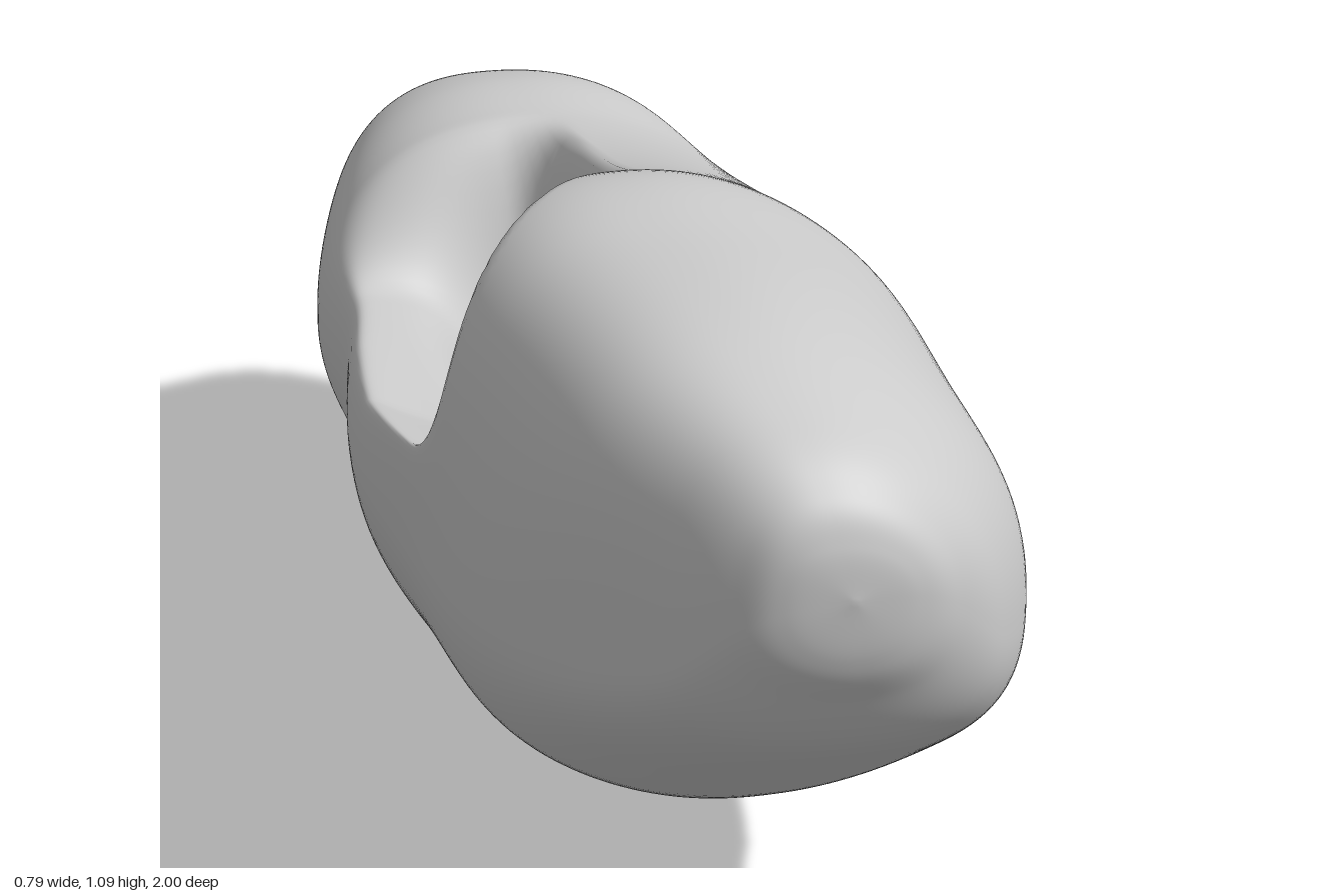
import * as THREE from 'three';
import { mergeVertices } from 'three/addons/utils/BufferGeometryUtils.js';

// Cross-sections from front to back: z, yMin, yMax, xMin, xMax, height of widest point
const SECTIONS = [
  [1.0, 0.87, 0.87, 0.06, 0.06, 0.87],
  [0.99, 0.78, 0.94, -0.02, 0.14, 0.86],
  [0.96, 0.71, 0.995, -0.075, 0.2, 0.82],
  [0.88, 0.58, 1.045, -0.155, 0.285, 0.72],
  [0.7, 0.42, 1.08, -0.265, 0.365, 0.64],
  [0.45, 0.22, 1.08, -0.335, 0.385, 0.59],
  [0.2, 0.115, 1.05, -0.375, 0.39, 0.55],
  [0.0, 0.03, 0.96, -0.395, 0.385, 0.53],
  [-0.15, 0.0, 0.90, -0.395, 0.365, 0.51],
  [-0.32, 0.04, 0.85, -0.375, 0.335, 0.50],
  [-0.48, 0.11, 0.82, -0.39, 0.31, 0.49],
  [-0.65, 0.18, 0.81, -0.36, 0.255, 0.50],
  [-0.8, 0.27, 0.755, -0.31, 0.19, 0.51],
  [-0.91, 0.37, 0.68, -0.23, 0.12, 0.53],
  [-0.97, 0.45, 0.61, -0.15, 0.04, 0.54],
  [-0.993, 0.495, 0.575, -0.105, -0.02, 0.54],
  [-1.0, 0.54, 0.54, -0.06, -0.06, 0.54],
];
const RINGS = 210, SIDES = 180;
const step = THREE.MathUtils.smoothstep;
const curve = (pick) => new THREE.CatmullRomCurve3(
  SECTIONS.map((s) => new THREE.Vector3(...pick(s))), false, 'catmullrom', 0.5);
const power = (t, e) => Math.sign(t) * Math.abs(t) ** e;

// Hollow on the upper side: a rounded outer shelf sinking into a pit under the ridge
function carve(p) {
  const front = 0.06 + (-0.07 - p.x) * 1.1;
  const w = step(-p.x, 0.01, 0.11)
    * step(p.z, -0.5, -0.32)
    * (1 - step(p.z, front - 0.14, front + 0.04));
  const pit = Math.exp(-(((p.x + 0.12) / 0.08) ** 2) - ((p.z + 0.2) / 0.18) ** 2);
  const floor = 0.62 - 0.28 * pit + 1.2 * (p.x + 0.2) ** 2 + 0.3 * Math.max(0, p.z);
  const over = p.y - floor;
  const drop = w * (over + Math.sqrt(over * over + 0.002)) / 2;
  p.y -= drop;
  p.x += 0.12 * drop * pit; // undercut below the ridge
  p.z += 0.25 * drop * step(p.z, -0.2, 0.05); // undercut below the front lobe
}

// Gentle unevenness of the skin
function bump(p, nx, ny, fade) {
  const n = Math.sin(9 * p.x + 7 * p.z + 1) * Math.sin(8 * p.y - 5 * p.z);
  // shallow dents on the left flank
  const dent = p.x > 0.2 ? Math.exp(-(((p.z - 0.25) / 0.14) ** 2) - ((p.y - 0.5) / 0.07) ** 2) : 0;
  const d = (0.004 * n - 0.012 * dent) * fade;
  p.x += nx * d;
  p.y += ny * d;
}

function bodyGeometry() {
  const heights = curve((s) => [s[0], s[1], s[2]]);
  const widths = curve((s) => [s[3], s[4], s[5]]);
  const pos = [], index = [];
  const h = new THREE.Vector3(), v = new THREE.Vector3(), p = new THREE.Vector3();
  for (let i = 0; i <= RINGS; i++) {
    const u = i / RINGS;
    heights.getPoint(u, h);
    widths.getPoint(u, v);
    const half = (v.y - v.x) / 2, mid = (v.y + v.x) / 2;
    const crestLean = 0.06 + 0.18 * step(h.x, -0.2, 0.4);
    const keelShape = 1.06 - 0.2 * step(h.x, 0.1, 0.6); // boxier chin at the front
    for (let j = 0; j < SIDES; j++) {
      const a = (j / SIDES) * Math.PI * 2, c = Math.cos(a), s = Math.sin(a);
      // the crest leans right, the keel leans left
      const e = s > 0 ? 0.9 : keelShape, lean = s > 0 ? crestLean : 0.15;
      p.set(mid + half * (power(c, e) - lean * s * Math.abs(s)),
        v.z + power(s, e) * (s > 0 ? h.z - v.z : v.z - h.y), h.x);
      bump(p, c, s, Math.min(1, half * 4));
      carve(p);
      pos.push(p.x, p.y, p.z);
      if (i < RINGS) {
        const k = i * SIDES, n = (j + 1) % SIDES;
        index.push(k + j, k + SIDES + j, k + n, k + n, k + SIDES + j, k + SIDES + n);
      }
    }
  }
  let geo = new THREE.BufferGeometry();
  geo.setAttribute('position', new THREE.Float32BufferAttribute(pos, 3));
  geo.setIndex(index);
  geo = mergeVertices(geo, 1e-5);
  geo.computeBoundingBox();
  geo.translate(0, -geo.boundingBox.min.y, 0);
  geo.computeVertexNormals();
  return geo;
}

export function createModel() {
  const group = new THREE.Group();
  group.name = 'hollowStone';
  const body = new THREE.Mesh(bodyGeometry(), new THREE.MeshStandardMaterial({ color: 0xcccccc }));
  body.name = 'stoneBody';
  group.add(body);
  return group;
}
